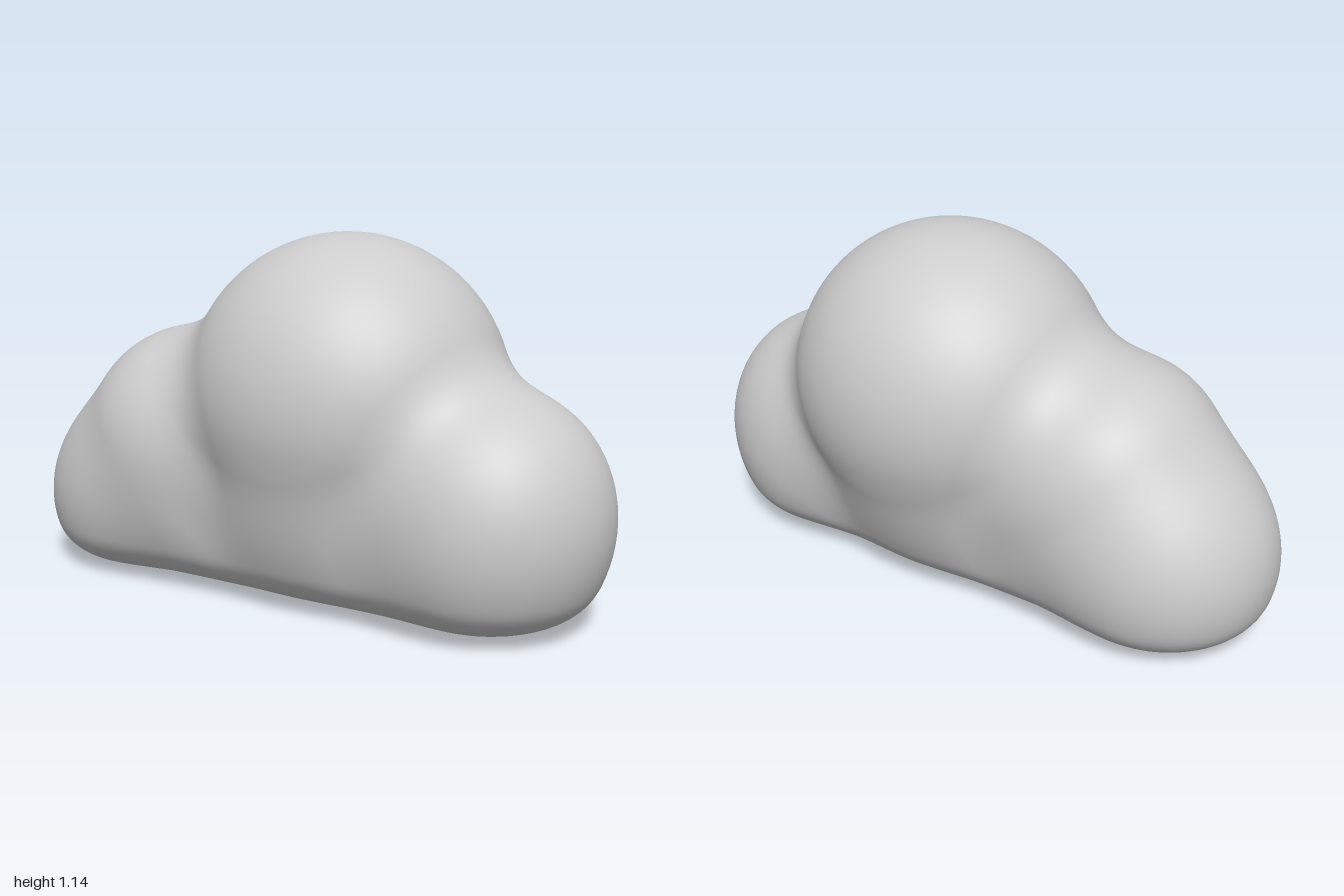
import * as THREE from 'three';

const BLEND = 0.14;       // softness where puffs meet
const FLOOR_BLEND = 0.14; // rounding of the flat underside

// Puffs: centre and radii along x, y, z
const puffs = [
  { c: [0.12, 0.635, 0], r: [0.515, 0.505, 0.483] },     // crown
  { c: [0.1, 0.36, 0.015], r: [0.35, 0.35, 0.35] },      // fill under the crown
  { c: [0.63, 0.355, 0.03], r: [0.364, 0.364, 0.36] },   // left shoulder
  { c: [-0.43, 0.44, 0.038], r: [0.38, 0.38, 0.38] },    // right shoulder
  { c: [-0.655, 0.24, 0.02], r: [0.325, 0.325, 0.325] }, // right end
];
// Long rounded bar joining the puffs along the bottom
const bar = { x0: -0.615, x1: 0.605, y: 0.22, z: 0.027, r: 0.325 };

function smoothMin(a, b, k) {
  const h = Math.max(k - Math.abs(a - b), 0) / k;
  return Math.min(a, b) - h * h * k * 0.25;
}

// Signed distance to the blended cloud, cut flat at y = 0
function cloud(x, y, z) {
  const bx = THREE.MathUtils.clamp(x, bar.x0, bar.x1);
  let d = Math.hypot(x - bx, y - bar.y, z - bar.z) - bar.r;
  for (const { c, r } of puffs) {
    const q = Math.hypot((x - c[0]) / r[0], (y - c[1]) / r[1], (z - c[2]) / r[2]);
    d = smoothMin(d, (q - 1) * Math.min(...r), BLEND);
  }
  return -smoothMin(-d, y, FLOOR_BLEND);
}

// Push every vertex of a sphere outward until it reaches the cloud surface
function cloudGeometry() {
  const geo = new THREE.SphereGeometry(1, 224, 144);
  const pos = geo.attributes.position;
  const nor = geo.attributes.normal;
  const centre = new THREE.Vector3(0.05, 0.38, 0.01);
  const dir = new THREE.Vector3();
  const p = new THREE.Vector3();
  const e = 0.002;
  for (let i = 0; i < pos.count; i++) {
    dir.fromBufferAttribute(pos, i).normalize();
    let t = 0;
    for (let s = 0; s < 90; s++) {
      p.copy(centre).addScaledVector(dir, t);
      t -= cloud(p.x, p.y, p.z) * 0.85;
    }
    p.copy(centre).addScaledVector(dir, t);
    pos.setXYZ(i, p.x, p.y, p.z);
    // Smooth normal from the slope of the distance
    dir.set(
      cloud(p.x + e, p.y, p.z) - cloud(p.x - e, p.y, p.z),
      cloud(p.x, p.y + e, p.z) - cloud(p.x, p.y - e, p.z),
      cloud(p.x, p.y, p.z + e) - cloud(p.x, p.y, p.z - e),
    ).normalize();
    nor.setXYZ(i, dir.x, dir.y, dir.z);
  }
  return geo;
}

export function createModel() {
  const group = new THREE.Group();
  group.name = 'cloud';
  const cloudGrey = new THREE.MeshStandardMaterial({ color: 0xcccccc });
  cloudGrey.name = 'cloudGrey';
  const body = new THREE.Mesh(cloudGeometry(), cloudGrey);
  body.name = 'cloudBody';
  group.add(body);
  return group;
}
